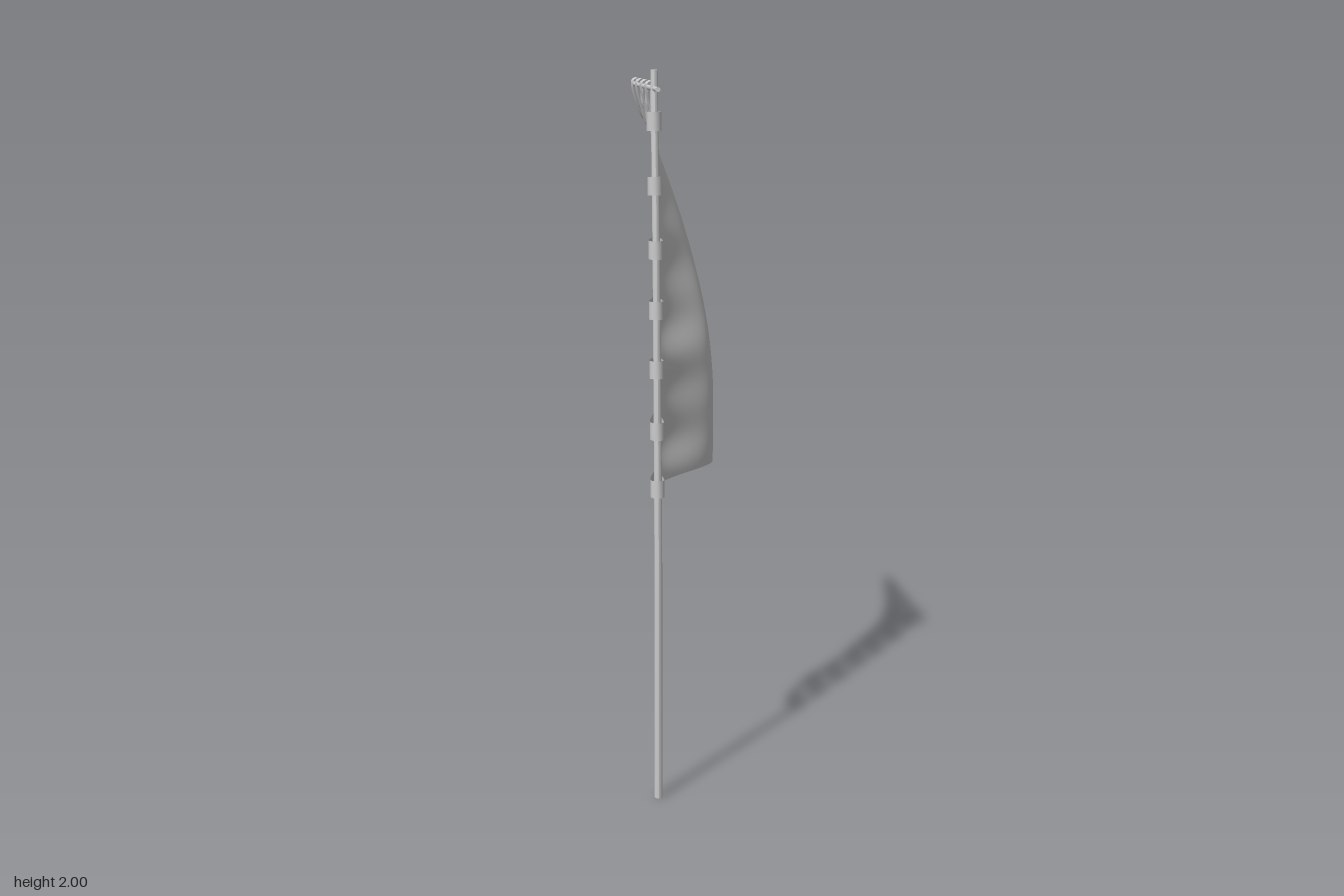
import * as THREE from 'three';

const material = new THREE.MeshStandardMaterial({ color: 0xcccccc, side: THREE.DoubleSide });
const POLE_X = -0.095, TOP = 1.885, BOTTOM = 0.88;
const poleTabs = [1.87, 1.705, 1.545, 1.385, 1.225, 1.065, 0.903];
const barTabs = [0.115, 0.015, -0.085, -0.18];

// Evenly spaced control points from bottom to top (pole) and top to bottom (free edge)
const evenSpline = (values) => {
  const curve = new THREE.SplineCurve(values.map((v, i) => new THREE.Vector2(i, v)));
  return (t) => curve.getPoint(THREE.MathUtils.clamp(t, 0, 1)).y;
};
const poleSpline = evenSpline([0.229, 0.234, 0.238, 0.23, 0.216, 0.188]);
const poleZ = (y) => poleSpline(y / 2);
const freeEdge = evenSpline([-0.2, -0.17, -0.13, -0.102, -0.11]);

// Sheet whose grid points follow fn(u, v, target)
function sheet(name, nu, nv, fn) {
  const geometry = new THREE.PlaneGeometry(1, 1, nu, nv);
  const pos = geometry.attributes.position, p = new THREE.Vector3();
  for (let i = 0; i < pos.count; i++) {
    fn(pos.getX(i) + 0.5, 0.5 - pos.getY(i), p);
    pos.setXYZ(i, p.x, p.y, p.z);
  }
  geometry.computeVertexNormals();
  const mesh = new THREE.Mesh(geometry, material);
  mesh.name = name;
  return mesh;
}

// Cloth: u runs from pole to free edge, v from top to bottom
function clothPoint(u, v, p) {
  const spacing = (1.87 - 0.903) / 6;
  let y = THREE.MathUtils.lerp(TOP, BOTTOM, v);
  const scallop = Math.sin(Math.PI * (y - 0.903) / spacing) ** 2;
  const inner = 0.168 - 0.016 * scallop;
  const z = THREE.MathUtils.lerp(inner, freeEdge(v), u);
  const swing = 0.197 * Math.sin(Math.PI / 2 * Math.min(1, 1.2 * v ** 0.95));
  const s = u ** 1.3;
  const ripple = 0.007 * Math.sin(v * 19 + u * 3) * v * 4 * u * (1 - u);
  const x = -0.087 + swing * s * s * (3 - 2 * s) + ripple;
  y -= 0.01 * Math.sin(Math.PI * (z - 0.015) / 0.1) ** 2 * Math.max(0, 1 - v * 12);
  return p.set(x, y, z);
}

// Cloth x at a given height and depth
function clothX(y, z) {
  const v = THREE.MathUtils.clamp((TOP - y) / (TOP - BOTTOM), 0, 1);
  const u = THREE.MathUtils.clamp((0.165 - z) / (0.165 - freeEdge(v)), 0, 1);
  return clothPoint(u, v, new THREE.Vector3()).x;
}

// Strap looped round the pole and stitched to both faces of the cloth
function poleTab(y, i) {
  const end = i === 0 ? 0.14 : i === 6 ? 0.122 : 0.106;
  const pz = poleZ(y), xe = clothX(y, end), xm = clothX(y, 0.155);
  const loop = new THREE.CatmullRomCurve3([
    [xe, end - 0.001], [xe + 0.006, end + 0.002], [xm + 0.009, 0.155], [POLE_X + 0.018, pz - 0.012],
    [POLE_X + 0.015, pz + 0.008], [POLE_X, pz + 0.016], [POLE_X - 0.015, pz + 0.008],
    [POLE_X - 0.019, pz - 0.012], [xm - 0.011, 0.155], [xe - 0.006, end + 0.002], [xe, end - 0.001],
  ].map(([x, z]) => new THREE.Vector3(x, 0, z)));
  const tilt = 0.06 + 0.06 * Math.sin(i * 2.1);
  return sheet('poleTab', 40, 3, (u, v, p) => {
    loop.getPoint(u, p);
    p.y = y + (0.5 - v) * 0.048 + (p.z - 0.18) * tilt;
  });
}

// Strap hung over the crossbar
function barTab(z, i) {
  const by = 1.947 + z * 0.03, low = 1.838 + (i % 2) * 0.008;
  const xe = clothX(low, z);
  const loop = new THREE.CatmullRomCurve3([
    [xe, low - 0.001], [xe + 0.006, low + 0.002], [-0.08, 1.89], [POLE_X + 0.015, by - 0.005],
    [POLE_X + 0.012, by + 0.012], [POLE_X, by + 0.018], [POLE_X - 0.011, by + 0.011],
    [POLE_X - 0.012, by - 0.005], [-0.095, 1.89], [xe - 0.006, low + 0.002], [xe, low - 0.001],
  ].map(([x, y]) => new THREE.Vector3(x, y, 0)));
  return sheet('topTab', 40, 3, (u, v, p) => {
    loop.getPoint(u, p);
    p.z = z + (v - 0.5) * 0.048 + (1.9 - p.y) * 0.05;
  });
}

export function createModel() {
  const group = new THREE.Group();
  group.name = 'bannerOnPole';

  // Slightly bowed pole
  const poleGeometry = new THREE.CylinderGeometry(0.0095, 0.0115, 2, 12, 24);
  poleGeometry.translate(POLE_X, 1, 0);
  const pos = poleGeometry.attributes.position;
  for (let i = 0; i < pos.count; i++) pos.setZ(i, pos.getZ(i) + poleZ(pos.getY(i)));
  poleGeometry.computeVertexNormals();
  const pole = new THREE.Mesh(poleGeometry, material);
  pole.name = 'pole';

  // Crossbar, a little lower at the far end
  const bar = new THREE.Mesh(new THREE.CylinderGeometry(0.0065, 0.0065, 0.52, 10), material);
  bar.name = 'crossbar';
  bar.position.set(POLE_X, 1.947, 0);
  bar.rotation.x = Math.PI / 2 - 0.03;

  group.add(pole, bar, sheet('cloth', 40, 96, clothPoint));
  poleTabs.forEach((y, i) => group.add(poleTab(y, i)));
  barTabs.forEach((z, i) => group.add(barTab(z, i)));
  return group;
}
